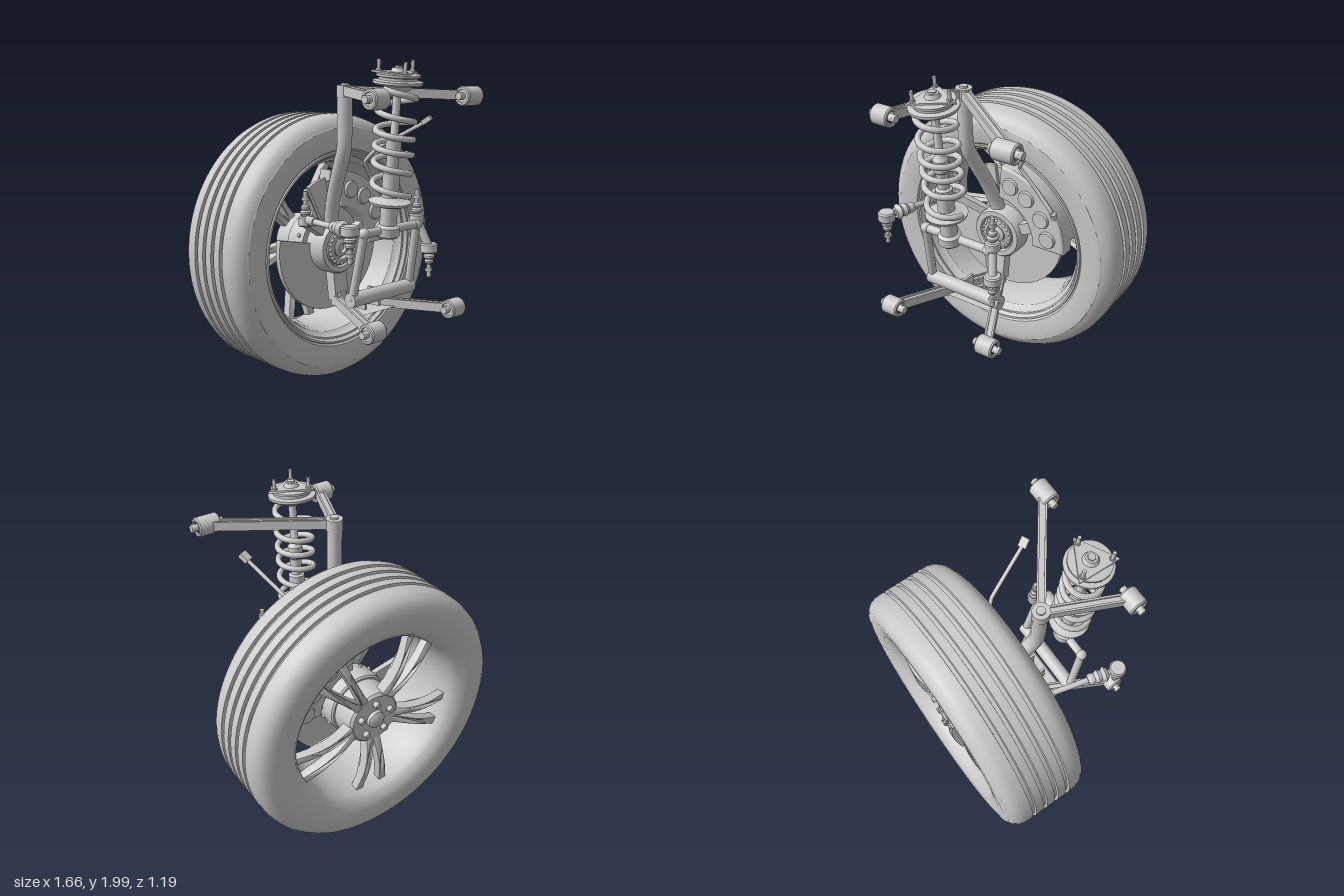
import * as THREE from 'three';
import { toCreasedNormals } from 'three/addons/utils/BufferGeometryUtils.js';

const V = (x, y, z) => new THREE.Vector3(x, y, z);
const UP = V(0, 1, 0);
const AXLE = 0.832; // wheel centre height

export function createModel() {
  const root = new THREE.Group();
  const mat = new THREE.MeshStandardMaterial({ color: 0xcccccc });

  function add(name, geo, parent = root) {
    const m = new THREE.Mesh(geo, mat);
    m.name = name;
    parent.add(m);
    return m;
  }
  // round bar between two points
  function rod(name, a, b, r1, r2 = r1, parent = root, sides = 24) {
    const d = b.clone().sub(a);
    const m = add(name, new THREE.CylinderGeometry(r2, r1, d.length(), sides), parent);
    m.position.copy(a).add(b).multiplyScalar(0.5);
    m.quaternion.setFromUnitVectors(UP, d.normalize());
    return m;
  }
  // rectangular bar between two points
  function beam(name, a, b, w, h) {
    const m = add(name, new THREE.BoxGeometry(w, h, a.distanceTo(b)));
    m.position.copy(a).add(b).multiplyScalar(0.5);
    m.lookAt(b);
    return m;
  }
  function ball(name, p, r, parent = root) {
    const m = add(name, new THREE.SphereGeometry(r, 24, 16), parent);
    m.position.copy(p);
    return m;
  }
  function tube(name, pts, r, parent = root, seg = 40, tension = 0.5) {
    const c = new THREE.CatmullRomCurve3(pts, false, 'catmullrom', tension);
    return add(name, new THREE.TubeGeometry(c, seg, r, 14), parent);
  }
  // profile of [radius, height]
  const lathe = (pts, seg = 32) => toCreasedNormals(
    new THREE.LatheGeometry(pts.map(p => new THREE.Vector2(p[0], p[1])), seg), 0.6);
  // ring sector in the wheel plane
  function sector(r0, r1, a0, a1, depth, bevel) {
    const s = new THREE.Shape();
    s.absarc(0, 0, r1, a0, a1, false);
    s.absarc(0, 0, r0, a1, a0, true);
    return new THREE.ExtrudeGeometry(s, {
      depth, curveSegments: 40, bevelEnabled: bevel > 0,
      bevelSize: bevel, bevelThickness: bevel, bevelSegments: 3 });
  }

  // ---- wheel: everything turns around the z axis ----
  const wheel = new THREE.Group();
  wheel.name = 'wheel';
  wheel.position.y = AXLE;
  root.add(wheel);
  const spin = (name, pts, seg) => add(name, lathe(pts, seg).rotateX(Math.PI / 2), wheel);

  const R = 0.832;
  const tyre = [[0.575, -0.56], [0.6, -0.582], [0.66, -0.592], [0.72, -0.594], [0.765, -0.587],
    [0.797, -0.567], [0.819, -0.538], [R - 0.003, -0.505]];
  for (const z of [-0.44, -0.36, -0.28, -0.2])
    tyre.push([R, z - 0.014], [R - 0.018, z - 0.011], [R - 0.018, z + 0.011], [R, z + 0.014]);
  tyre.push([R - 0.003, -0.135], [0.819, -0.1], [0.797, -0.07], [0.765, -0.05], [0.757, -0.047],
    [0.753, -0.043], [0.72, -0.041], [0.66, -0.043], [0.62, -0.052], [0.6, -0.075], [0.575, -0.08], [0.575, -0.56]);
  spin('tyre', tyre, 112);

  spin('rim', [[0.562, -0.545], [0.575, -0.562], [0.6, -0.572], [0.61, -0.56], [0.6, -0.5], [0.57, -0.3],
    [0.6, -0.12], [0.612, -0.07], [0.606, -0.055], [0.594, -0.055], [0.586, -0.075], [0.572, -0.085],
    [0.562, -0.12], [0.545, -0.135], [0.53, -0.2], [0.525, -0.3], [0.53, -0.44], [0.545, -0.52], [0.562, -0.545]], 96);

  // five pairs of splayed spokes
  const N = 8;
  for (let i = 0; i < 5; i++) for (const side of [-1, 1]) {
    const left = [], right = [];
    for (let j = 0; j <= N; j++) {
      const t = j / N, r = 0.13 + 0.41 * t;
      const c = side * (0.022 + 0.068 * Math.pow(t, 1.3)), w = 0.021 - 0.006 * Math.sin(Math.PI * t);
      right.push(new THREE.Vector2(r, c - w));
      left.unshift(new THREE.Vector2(r, c + w));
    }
    const g = new THREE.ExtrudeGeometry(new THREE.Shape([...right, ...left]),
      { depth: 0.045, bevelSize: 0.006, bevelThickness: 0.008, bevelSegments: 2 });
    const p = g.attributes.position;
    for (let k = 0; k < p.count; k++) {
      const t = (p.getX(k) - 0.13) / 0.41;
      p.setZ(k, p.getZ(k) * (1.3 - 0.4 * t) - 0.5 - 0.035 * Math.sin(Math.PI * Math.min(1, Math.max(0, t))));
    }
    g.computeVertexNormals();
    add('spoke', toCreasedNormals(g, 0.6), wheel).rotation.z = -Math.PI / 2 + i * Math.PI * 0.4;
  }
  spin('wheelHub', [[0, -0.52], [0.155, -0.52], [0.17, -0.505], [0.18, -0.4], [0.18, -0.36], [0, -0.36]], 48);
  spin('centreCap', [[0, -0.55], [0.04, -0.55], [0.055, -0.54], [0.058, -0.515], [0, -0.515]]);
  for (let i = 0; i < 5; i++) {
    const a = Math.PI / 2 + i * Math.PI * 0.4, x = 0.108 * Math.cos(a), y = 0.108 * Math.sin(a);
    rod('wheelNut', V(x, y, -0.51), V(x, y, -0.55), 0.022, 0.018, wheel, 6);
  }

  // ---- brake ----
  spin('discHat', [[0.1, -0.37], [0.19, -0.37], [0.2, -0.36], [0.2, -0.22], [0.1, -0.22]], 48);
  for (let i = 0; i < 16; i++) {
    const a = i * Math.PI / 8, x = Math.cos(a), y = Math.sin(a);
    rod('discHatBolt', V(x * 0.19, y * 0.19, -0.26), V(x * 0.212, y * 0.212, -0.26), 0.012, 0.012, wheel, 10);
  }
  add('brakeDisc', sector(0.12, 0.41, 2.93, 2 * Math.PI + 2.05, 0.035, 0), wheel).position.z = -0.22;
  add('discShieldEdge', sector(0.2, 0.44, 1.72, 2.05, 0.02, 0.004), wheel).position.z = -0.17;
  add('caliperInner', sector(0.27, 0.46, 0.02, 1.5, 0.08, 0.015), wheel).position.z = -0.18;
  add('caliperOuter', sector(0.27, 0.46, 0.1, 1.4, 0.07, 0.015), wheel).position.z = -0.33;
  add('caliperBridge', sector(0.42, 0.47, 0.15, 1.35, 0.2, 0.008), wheel).position.z = -0.31;
  for (const a of [0.2, 0.56, 0.98, 1.32]) {
    const x = 0.37 * Math.cos(a), y = 0.37 * Math.sin(a);
    rod('caliperPiston', V(x, y, -0.1), V(x, y, -0.07), 0.062, 0.05, wheel);
    rod('caliperPistonOuter', V(x, y, -0.34), V(x, y, -0.36), 0.06, 0.05, wheel);
  }

  // ---- knuckle and bearing ----
  spin('bearingHousing', [[0.1, -0.23], [0.165, -0.23], [0.165, -0.09], [0.155, -0.075], [0.122, -0.075],
    [0.115, -0.095], [0.1, -0.095]], 48);
  spin('bearing', [[0.09, -0.2], [0.108, -0.2], [0.108, -0.08], [0.085, -0.065], [0.07, -0.065], [0.065, -0.09], [0, -0.09]], 40);
  for (let i = 0; i < 20; i++) {
    const a = i * Math.PI / 10;
    ball('bearingBall', V(0.095 * Math.cos(a), 0.095 * Math.sin(a), -0.073), 0.011, wheel);
  }
  spin('axleStub', [[0.055, -0.2], [0.055, -0.075], [0.035, -0.062], [0.03, -0.062], [0.025, -0.08], [0, -0.08]]);
  tube('knuckleUpright', [V(-0.12, 1.82, 0.08), V(-0.12, 1.66, 0.08), V(-0.115, 1.48, 0.07), V(-0.1, 1.36, 0.02),
    V(-0.07, 1.2, -0.06), V(-0.04, 1.05, -0.12), V(-0.02, 0.95, -0.14)], 0.045);
  beam('knuckleLowerArm', V(0, 0.72, -0.13), V(0, 0.5, -0.1), 0.11, 0.07);
  beam('steeringArm', V(-0.1, 0.93, -0.14), V(-0.3, 1.03, -0.06), 0.05, 0.05);
  beam('caliperBracket', V(0.1, 0.87, -0.14), V(0.33, 0.98, -0.14), 0.06, 0.07);

  // ---- control arms ----
  function bushing(x, y, z, len) {
    const m = add('armBushing', lathe([[0.03, -len / 2 + 0.008], [0.038, -len / 2 + 0.008], [0.04, -len / 2],
      [0.052, -len / 2], [0.058, -len / 2 + 0.008], [0.058, len / 2 - 0.008], [0.052, len / 2], [0.04, len / 2],
      [0.038, len / 2 - 0.008], [0, len / 2 - 0.008]]));
    m.position.set(x, y, z);
    m.rotation.z = Math.PI / 2;
    const h = len / 2;
    rod('bushingSleeve', V(x - h - 0.012, y, z), V(x + h + 0.012, y, z), 0.022);
    for (const s of [-1, 1])
      rod('bushingBolt', V(x + s * (h + 0.01), y, z), V(x + s * (h + 0.032), y, z), 0.024, 0.024, root, 6);
  }
  // two flanges and a web form an I-section arm
  function arm(name, a, b) {
    beam(name + 'Web', a, b, 0.03, 0.035);
    for (const s of [-1, 1]) {
      const d = b.clone().sub(a).normalize(), o = V(-d.z, 0, d.x).multiplyScalar(s * 0.02);
      beam(name + 'Flange', a.clone().add(o), b.clone().add(o), 0.012, 0.056);
    }
  }
  const upper = V(-0.12, 1.81, 0.085);
  for (const [x, len] of [[-0.33, 0.115], [0.465, 0.14]]) {
    bushing(x, 1.775, 0.535, len);
    arm('upperArm', upper, V(x - Math.sign(x) * 0.03, 1.78, 0.5));
  }
  rod('upperBallJoint', V(-0.12, 1.77, 0.085), V(-0.12, 1.84, 0.085), 0.05);
  rod('upperBallJointCap', V(-0.12, 1.84, 0.085), V(-0.12, 1.852, 0.085), 0.025);

  for (const s of [-1, 1]) {
    bushing(s * 0.35, 0.5, 0.54, 0.115);
    arm('lowerArm', V(s * 0.02, 0.5, -0.1), V(s * 0.33, 0.5, 0.5));
    beam('shockBracketPlate', V(s * 0.06, 0.555, 0.105), V(s * 0.06, 0.555, 0.2), 0.016, 0.11);
  }
  const web = new THREE.Shape([[0, 0.08], [-0.16, -0.24], [0.16, -0.24]].map(p => new THREE.Vector2(...p)));
  const plate = add('lowerArmPlate', new THREE.ExtrudeGeometry(web, { depth: 0.03, bevelEnabled: false }));
  plate.rotation.x = Math.PI / 2;
  plate.scale.y = -1;
  plate.geometry.scale(1, -1, 1).rotateX(0);
  plate.scale.y = 1;
  plate.position.y = 0.515;
  rod('lowerBallJoint', V(0, 0.46, -0.1), V(0, 0.55, -0.1), 0.05);

  // ---- spring and damper, along its own leaning axis ----
  const strut = new THREE.Group();
  strut.name = 'springAndDamper';
  strut.position.set(-0.04, 1.0, 0.355);
  strut.quaternion.setFromUnitVectors(UP, V(-0.02, 0.95, 0.095).normalize());
  root.add(strut);
  add('damper', lathe([[0, -0.03], [0.06, -0.03], [0.07, -0.02], [0.07, 0.03], [0.05, 0.045], [0.05, 0.15], [0.075, 0.155],
    [0.12, 0.17], [0.125, 0.185], [0.075, 0.195], [0.05, 0.21], [0.05, 0.35], [0.035, 0.36], [0.035, 0.46],
    [0.045, 0.47], [0.045, 0.54], [0.03, 0.56], [0.024, 0.57], [0.024, 0.84], [0, 0.84]]), strut);
  add('springTopMount', lathe([[0, 0.82], [0.07, 0.82], [0.085, 0.845], [0.135, 0.85], [0.142, 0.858], [0.142, 0.872],
    [0.11, 0.878], [0.11, 0.892], [0.125, 0.897], [0.125, 0.91], [0.05, 0.915], [0.035, 0.945], [0, 0.945]], 40), strut);
  const coil = [];
  const turns = 5.5;
  for (let i = 0; i <= turns * 16; i++) {
    const t = i / (turns * 16), a = t * turns * 2 * Math.PI;
    const y = 0.2 + 0.63 * (t - 0.04 * Math.sin(2 * Math.PI * t) * -1);
    coil.push(V(0.108 * Math.cos(a), y, 0.108 * Math.sin(a)));
  }
  tube('coilSpring', coil, 0.018, strut, 320);
  const top = add('triangularTopPlate', new THREE.CylinderGeometry(0.158, 0.158, 0.012, 3, 1, false, Math.PI / 2), strut);
  top.position.y = 0.916;
  for (let i = 0; i < 3; i++) {
    const a = i * Math.PI * 2 / 3, x = 0.115 * Math.cos(a), z = 0.115 * Math.sin(a);
    rod('mountStud', V(x, 0.91, z), V(x, 0.985, z), 0.011, 0.011, strut, 12);
    rod('mountNut', V(x, 0.92, z), V(x, 0.932, z), 0.018, 0.018, strut, 6);
  }
  rod('damperNut', V(0, 0.94, 0), V(0, 0.955, 0), 0.024, 0.024, strut, 6);

  // fork that carries the damper on a lower cross bar
  rod('forkTopBar', V(-0.23, 1.01, 0.345), V(0.22, 1.01, 0.345), 0.026);
  for (const s of [-1, 1]) {
    rod('forkLeg', V(s * 0.225, 1.01, 0.345), V(s * 0.245, 0.61, 0.27), 0.026);
    ball('forkElbow', V(s * 0.225, 1.01, 0.345), 0.034);
  }
  rod('forkLowerBar', V(-0.265, 0.61, 0.27), V(0.265, 0.61, 0.27), 0.044);

  // ---- ball-ended links ----
  // housing, bellows and threaded stud; s is the stud direction in y
  function joint(name, p, s, r) {
    const g = new THREE.Group();
    g.name = name;
    g.position.copy(p);
    if (s < 0) g.rotation.x = Math.PI;
    root.add(g);
    add('jointHousing', lathe([[0, -0.03], [r - 0.008, -0.03], [r, -0.022], [r, 0.022], [r - 0.008, 0.03], [0, 0.03]]), g);
    add('jointBoot', lathe([[0.02, 0.03], [0.034, 0.045], [0.034, 0.058], [0.022, 0.068], [0.028, 0.078],
      [0.026, 0.09], [0.015, 0.1], [0, 0.1]]), g);
    rod('jointStud', V(0, 0.09, 0), V(0, 0.18, 0), 0.014, 0.014, g, 12);
    rod('jointNut', V(0, 0.125, 0), V(0, 0.145, 0), 0.024, 0.024, g, 6);
  }
  joint('tieRodInnerJoint', V(-0.44, 1.07, 0.45), -1, 0.052);
  joint('tieRodOuterJoint', V(-0.3, 1.04, -0.07), 1, 0.045);
  const t0 = V(-0.44, 1.07, 0.45), t1 = V(-0.3, 1.05, -0.07);
  const at = t => t0.clone().lerp(t1, t);
  rod('tieRod', t0, t1, 0.018);
  rod('tieRodSleeve', at(0.76), at(0.97), 0.027, 0.027, root, 6);
  for (let i = 0; i < 3; i++) {
    rod('tieRodBellows', at(0.12 + i * 0.08), at(0.16 + i * 0.08), 0.032, 0.05 - i * 0.007);
    rod('tieRodBellows', at(0.16 + i * 0.08), at(0.2 + i * 0.08), 0.05 - i * 0.007, 0.03);
  }
  joint('dropLinkUpperJoint', V(0.245, 1.04, 0.33), 1, 0.045);
  joint('dropLinkLowerJoint', V(0.29, 0.86, 0.395), -1, 0.052);
  rod('dropLink', V(0.245, 1.04, 0.33), V(0.29, 0.86, 0.395), 0.026);

  // ---- brake line with its end fitting ----
  tube('brakeLine', [V(0.345, 1.62, 0.31), V(0.24, 1.45, 0.01), V(0.18, 1.36, -0.05), V(0.28, 1.23, -0.08),
    V(0.38, 1.12, -0.08), V(0.4, 1.04, -0.11)], 0.012, root, 60, 0.15);
  beam('brakeLineFitting', V(0.335, 1.61, 0.29), V(0.357, 1.645, 0.335), 0.05, 0.03);
  rod('brakeLineUnion', V(0.395, 1.1, -0.085), V(0.4, 1.04, -0.11), 0.022, 0.022, root, 6);

  return root;
}
